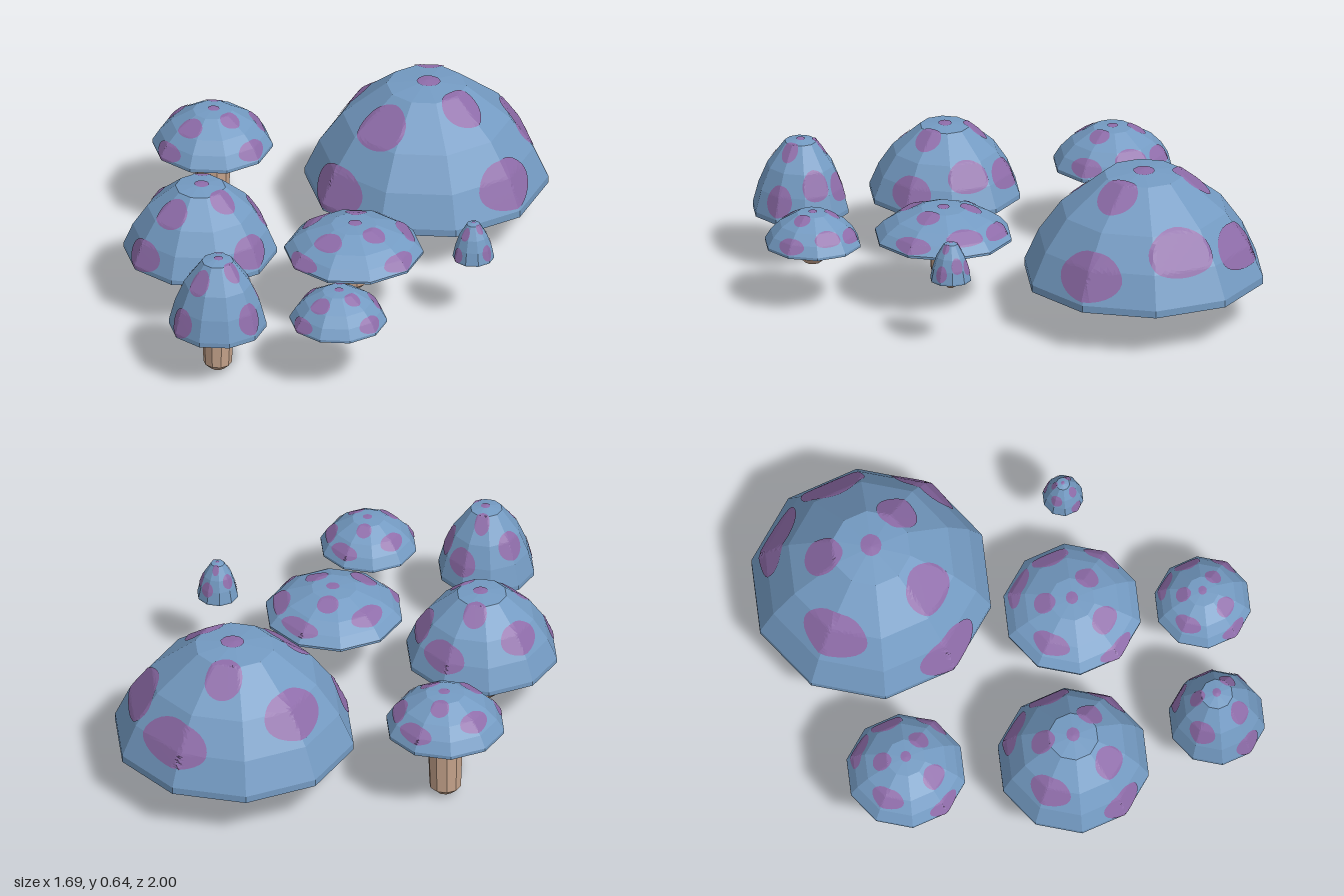
import * as THREE from 'three';

const SIDES = 10;
const capBlue = new THREE.MeshStandardMaterial({ color: 0x749bc3 });
capBlue.name = 'capBlue';
const spotPurple = new THREE.MeshStandardMaterial({ color: 0x8e6ca9 });
spotPurple.name = 'spotPurple';
const stemTan = new THREE.MeshStandardMaterial({ color: 0xc6a48c });
stemTan.name = 'stemTan';

// dome profile: polar angle in degrees, radius, height (both 0..1)
const DOME = [[0, 0, 1], [19, 0.327, 0.96], [44, 0.69, 0.62], [64, 0.88, 0.31], [90, 1, 0]];

// spots: x and z direction, polar angle, half width, half height
const SPOTS = [
  [0.2, 0, 1, 0.09, 0.1],
  [0, -1, 25, 0.16, 0.19],
  [-0.62, -0.4, 48, 0.32, 0.22],
  [0.38, -0.8, 63, 0.36, 0.25],
  [0.73, -0.23, 55, 0.3, 0.25],
  [0.33, 0.27, 25, 0.19, 0.18],
  [-0.35, 0.45, 35, 0.23, 0.21],
  [-0.8, 0.65, 77, 0.34, 0.3],
  [0.83, 0.62, 71, 0.33, 0.3],
];

// position, cap radius, rim bottom, rim top, cap top, stem radius, stem bottom
const MUSHROOMS = [
  { name: 'giantMushroom', x: 0.345, z: -0.53, R: 0.5, low: 0.18, rim: 0.21, top: 0.64, stem: 0.127, foot: 0.06 },
  { name: 'tallBackMushroom', x: -0.53, z: -0.49, R: 0.247, low: 0.325, rim: 0.34, top: 0.495, stem: 0.075, foot: 0 },
  { name: 'largeLeftMushroom', x: -0.53, z: 0.2, R: 0.315, low: 0.225, rim: 0.245, top: 0.535, stem: 0.095, foot: 0.012 },
  { name: 'wideMiddleMushroom', x: 0.105, z: 0.27, R: 0.286, low: 0.285, rim: 0.295, top: 0.415, stem: 0.06, foot: 0.112 },
  { name: 'smallFrontMushroom', x: 0.08, z: 0.805, R: 0.2, low: 0.264, rim: 0.275, top: 0.405, stem: 0.065, foot: 0.176 },
  { name: 'conicalFrontMushroom', x: -0.415, z: 0.805, R: 0.2, low: 0.22, rim: 0.24, top: 0.535, stem: 0.066, foot: 0.016 },
  { name: 'tinyMushroom', x: 0.597, z: 0.29, R: 0.085, low: 0.288, rim: 0.295, top: 0.45, stem: 0.025, foot: 0.25 },
];

function flat(geometry) {
  const g = geometry.index ? geometry.toNonIndexed() : geometry;
  g.computeVertexNormals();
  return g;
}

function lathe(name, points, material) {
  const pts = points.map(([r, y]) => new THREE.Vector2(r, y));
  const mesh = new THREE.Mesh(flat(new THREE.LatheGeometry(pts, SIDES, Math.PI / 2)), material);
  mesh.name = name;
  return mesh;
}

// point on the faceted cap, lifted slightly, for a direction on the unit dome
function capPoint(m, dir) {
  const theta = THREE.MathUtils.radToDeg(Math.acos(THREE.MathUtils.clamp(dir.y, -1, 1)));
  const az = Math.atan2(dir.z, dir.x);
  let r = 1;
  let y = THREE.MathUtils.lerp(m.rim, m.low, Math.min((theta - 90) / 5, 1));
  for (let i = 0; i < DOME.length - 1; i++) {
    const [t0, r0, h0] = DOME[i], [t1, r1, h1] = DOME[i + 1];
    if (theta >= t0 && theta <= t1) {
      const k = (theta - t0) / (t1 - t0);
      r = r0 + (r1 - r0) * k;
      y = m.rim + (m.top - m.rim) * (h0 + (h1 - h0) * k);
    }
  }
  // pull the circle in to the flat sides
  const step = (2 * Math.PI) / SIDES;
  const off = THREE.MathUtils.euclideanModulo(az, step) - step / 2;
  const lift = 0.002 + 0.004 * m.R;
  const radius = (r * m.R * Math.cos(step / 2)) / Math.cos(off) + lift * Math.sqrt(1 - dir.y * dir.y);
  return [radius * Math.cos(az), y + lift * Math.max(dir.y, 0), radius * Math.sin(az)];
}

// thin oval patch that follows the cap surface
function spot(m, [dx, dz, theta, a, b]) {
  const t = THREE.MathUtils.degToRad(theta);
  const len = Math.hypot(dx, dz);
  const c = new THREE.Vector3((dx / len) * Math.sin(t), Math.cos(t), (dz / len) * Math.sin(t));
  const e1 = new THREE.Vector3(0, 1, 0).cross(c).normalize();
  const e2 = c.clone().cross(e1);
  const RINGS = 8, SEG = 28;
  const pos = [], idx = [];
  for (let i = 0; i <= RINGS; i++) {
    for (let j = 0; j < SEG; j++) {
      const ang = (j / SEG) * 2 * Math.PI, k = i / RINGS;
      const d = c.clone()
        .addScaledVector(e1, a * k * Math.cos(ang))
        .addScaledVector(e2, b * k * Math.sin(ang)).normalize();
      pos.push(...capPoint(m, d));
      if (i === RINGS) continue;
      const p = i * SEG + j, q = i * SEG + ((j + 1) % SEG);
      idx.push(p, p + SEG, q + SEG);
      if (i > 0) idx.push(p, q + SEG, q);
    }
  }
  const g = new THREE.BufferGeometry();
  g.setAttribute('position', new THREE.Float32BufferAttribute(pos, 3));
  g.setIndex(idx);
  const mesh = new THREE.Mesh(flat(g), spotPurple);
  mesh.name = 'spot';
  return mesh;
}

function mushroom(m) {
  const group = new THREE.Group();
  group.name = m.name;
  group.position.set(m.x, 0, m.z);
  const H = m.top - m.rim;

  // domed cap with a short upright rim
  const dome = DOME.map(([, r, h]) => [r * m.R, m.rim + h * H]).reverse();
  group.add(lathe('cap', [[m.R, m.low], ...dome], capBlue));

  // hollow underside
  const hollow = m.low + 0.4 * H;
  group.add(lathe('underside', [[0, hollow], [m.stem * 0.7, hollow], [m.R, m.low]], stemTan));

  // stem with a rounded foot, narrowing towards the cap
  const s = m.stem, f = m.foot;
  group.add(lathe('stem', [
    [0, f], [s * 0.5, f + s * 0.14], [s * 0.88, f + s * 0.5],
    [s, Math.max(f + s, m.low - 0.02)], [s * 0.75, m.low + 0.45 * H],
  ], stemTan));

  const spots = new THREE.Group();
  spots.name = 'spots';
  for (const data of SPOTS) spots.add(spot(m, data));
  group.add(spots);
  return group;
}

export function createModel() {
  const model = new THREE.Group();
  model.name = 'mushroomCluster';
  for (const m of MUSHROOMS) model.add(mushroom(m));
  return model;
}
